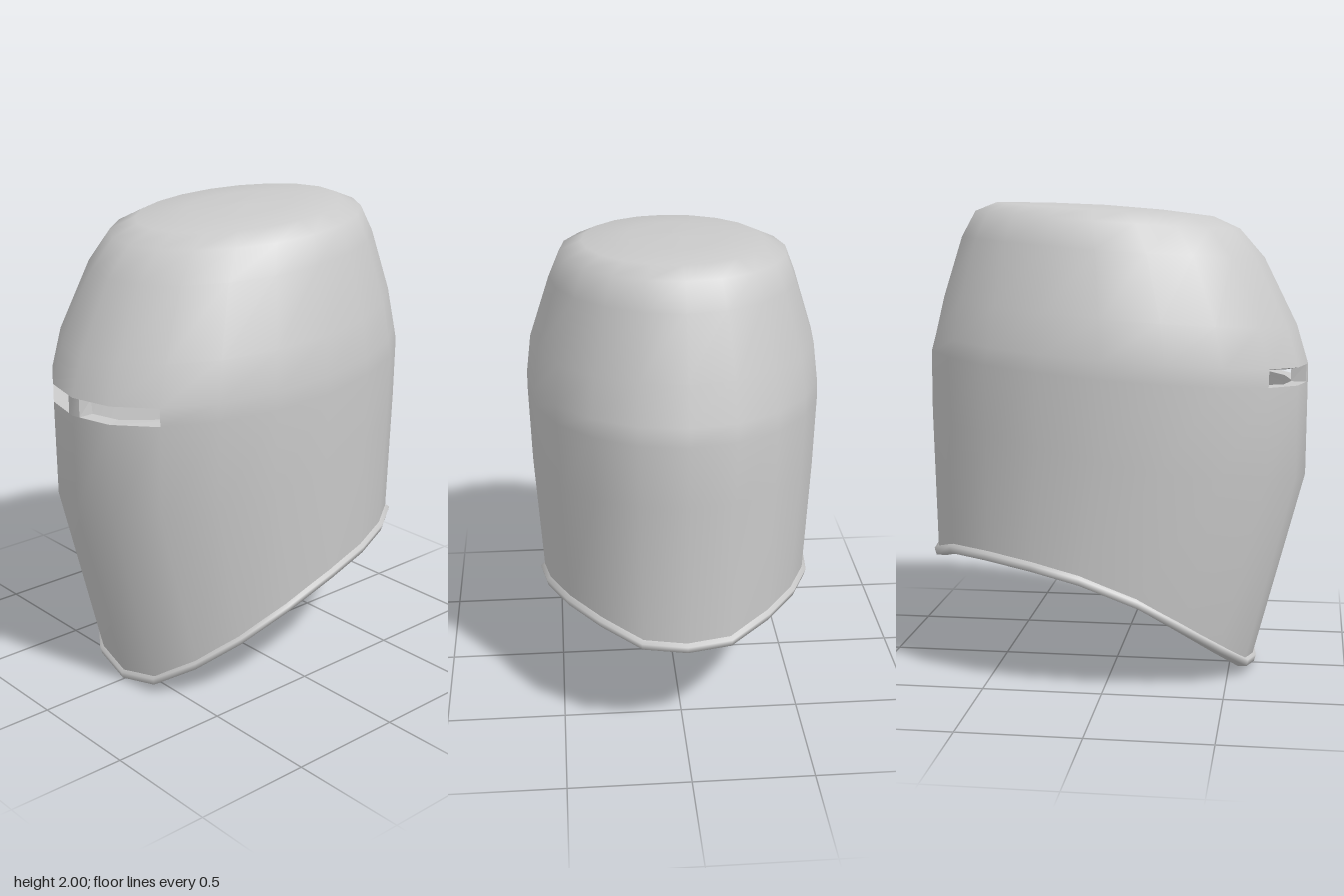
import * as THREE from 'three';

const SIDES = 20;
const THICKNESS = 0.065;
const lerp = THREE.MathUtils.lerp;

// tilted elliptical rings: [front z, front y, back z, back y, half width]
const RINGS = [
  [0.812, 0.85, -0.812, 1.13, 0.6],
  [0.815, 1.25, -0.81, 1.38, 0.61],
  [0.815, 1.325, -0.79, 1.45, 0.61],
  [0.765, 1.49, -0.75, 1.61, 0.59],
  [0.625, 1.77, -0.67, 1.86, 0.505],
  [0.52, 1.89, -0.61, 1.965, 0.46],
  [0.41, 1.94, -0.52, 2.0, 0.37],
  [0.2, 1.967, -0.3, 1.998, 0.19],
];

// lower edge, from the front centre round to the back centre
const EDGE = [
  [0, 0.025, 0.595], [0.18, 0.06, 0.57], [0.33, 0.16, 0.47], [0.45, 0.275, 0.33],
  [0.54, 0.4, 0.15], [0.565, 0.495, -0.08], [0.54, 0.54, -0.28], [0.46, 0.56, -0.48],
  [0.335, 0.555, -0.655], [0.175, 0.505, -0.76], [0, 0.495, -0.785],
];

// the eye slits cut two facets on each side, leaving a narrow bridge
const SLIT_CELLS = [0, 1, SIDES - 2, SIDES - 1];
const BRIDGE = 0.185;

function ellipse([zf, yf, zb, yb, w]) {
  return Array.from({ length: SIDES }, (_, k) => {
    const a = (k / SIDES) * Math.PI * 2, c = Math.cos(a);
    return new THREE.Vector3(
      w * Math.sin(a), lerp(yb, yf, (c + 1) / 2), (zf + zb) / 2 + ((zf - zb) / 2) * c);
  });
}

// mirrored lower edge, moved outward and up by the given amounts
function lowerEdge(out = 0, up = 0) {
  return Array.from({ length: SIDES }, (_, k) => {
    const [x, y, z] = EDGE[Math.min(k, SIDES - k)];
    const p = new THREE.Vector3(k > SIDES / 2 ? -x : x, y, z);
    const dir = new THREE.Vector3(p.x / 0.32, 0, (z + 0.1) / 0.476).normalize();
    return p.addScaledVector(dir, out).add(new THREE.Vector3(0, up, 0));
  });
}

const tip = (y) => Array.from({ length: SIDES }, () => new THREE.Vector3(0, y, -0.05));

// smooth surface through rings of points; rings rise on faces that look outward
function skin(rings, { closed = true, slitRow = -1 } = {}) {
  const n = rings[0].length, index = [];
  for (let i = 0; i < rings.length - 1; i++) {
    for (let j = 0; j < (closed ? n : n - 1); j++) {
      if (i === slitRow && SLIT_CELLS.includes(j)) continue;
      const a = i * n + j, b = i * n + (j + 1) % n;
      index.push(a, b, b + n, a, b + n, a + n);
    }
  }
  const g = new THREE.BufferGeometry().setFromPoints(rings.flat());
  g.setIndex(index);
  g.computeVertexNormals();
  return g;
}

// points of a ring between the slits, and along the edge of each slit
const bridgePoints = (ring) => [
  ring[0].clone().lerp(ring[SIDES - 1], BRIDGE), ring[0], ring[0].clone().lerp(ring[1], BRIDGE),
];
const slitEdges = (ring) => {
  const [right, , left] = bridgePoints(ring);
  return [[left, ring[1], ring[2]], [ring[SIDES - 2], ring[SIDES - 1], right]];
};

// flat walls lining the cut edges of the slits
function slitWalls(outer, inner) {
  const pts = [];
  const quad = (a, b, c, d) => pts.push(a, b, c, a, c, d);
  const [outLo, outHi, inLo, inHi] = [...outer, ...inner].map(slitEdges);
  for (const s of [0, 1]) {
    for (const j of [0, 1]) {
      quad(outLo[s][j], outLo[s][j + 1], inLo[s][j + 1], inLo[s][j]);
      quad(inHi[s][j], inHi[s][j + 1], outHi[s][j + 1], outHi[s][j]);
    }
    quad(outLo[s][0], inLo[s][0], inHi[s][0], outHi[s][0]);
    quad(inLo[s][2], outLo[s][2], outHi[s][2], inHi[s][2]);
  }
  const g = new THREE.BufferGeometry().setFromPoints(pts);
  g.computeVertexNormals();
  return g;
}

export function createModel() {
  const group = new THREE.Group();
  group.name = 'helmet';
  const material = new THREE.MeshStandardMaterial({ color: 0xcccccc });
  const add = (name, geometry) => {
    const mesh = new THREE.Mesh(geometry, material);
    mesh.name = name;
    group.add(mesh);
  };

  // outer shell
  const outer = RINGS.map(ellipse);
  const shell = [lowerEdge(), ...outer, tip(1.988)];
  add('outerShell', skin(shell, { slitRow: 2 }));

  // lining: the shell moved inward along its normals
  const normals = skin(shell).getAttribute('normal');
  const inner = outer.map((ring, i) => ring.map((p, j) => {
    const normal = new THREE.Vector3().fromBufferAttribute(normals, (i + 1) * SIDES + j);
    return p.clone().addScaledVector(normal, -THICKNESS);
  }));
  // slit ends moved sideways so they are cut straight back
  for (const ring of inner.slice(1, 3)) {
    ring[2].lerp(ring[3], 0.35);
    ring[SIDES - 2].lerp(ring[SIDES - 3], 0.35);
  }

  // the lining runs down from its top and rolls under into the rim
  const rim = Array.from({ length: 5 }, (_, i) => {
    const a = Math.PI * (1 + i * 0.375);
    return lowerEdge(-0.015 + 0.037 * Math.cos(a), 0.027 * Math.sin(a));
  });
  add('liningAndRim', skin([tip(1.988 - THICKNESS), ...[...inner].reverse(), ...rim], { slitRow: 6 }));

  // eye slits and the bridge between them
  const outerSlit = outer.slice(1, 3), innerSlit = inner.slice(1, 3);
  add('eyeSlitWalls', slitWalls(outerSlit, innerSlit));
  add('noseBridgeFront', skin(outerSlit.map(bridgePoints), { closed: false }));
  add('noseBridgeBack', skin([...innerSlit].reverse().map(bridgePoints), { closed: false }));
  return group;
}
